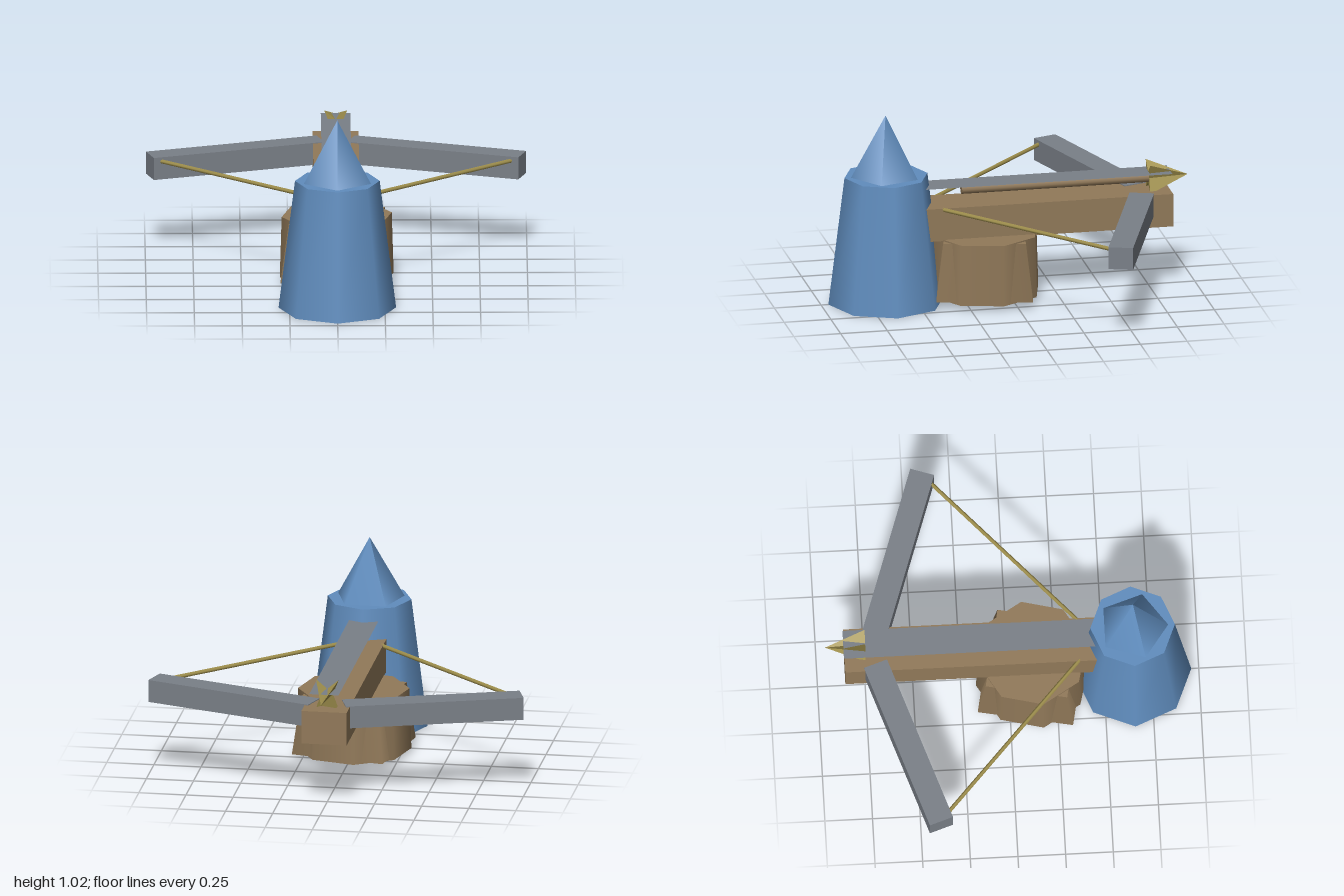
import * as THREE from 'three';

export function createModel() {
  const model = new THREE.Group();
  const mat = (name, color, extra = {}) => Object.assign(new THREE.MeshStandardMaterial({ color, ...extra }), { name });
  const blue = mat('towerBlue', 0x608dbe);
  const wood = mat('wood', 0x917959);
  const steel = mat('steelGrey', 0x7a8088, { side: THREE.DoubleSide });
  const brass = mat('brass', 0xa3934f);

  const add = (name, geometry, material, x = 0, y = 0, z = 0) => {
    const mesh = new THREE.Mesh(geometry, material);
    mesh.name = name;
    mesh.position.set(x, y, z);
    model.add(mesh);
    return mesh;
  };

  // Tapered tower with a five-sided pointed cap
  add('tower', new THREE.CylinderGeometry(0.222, 0.308, 0.69, 8), blue, 0, 0.345, 0.653);
  add('pointedCap', new THREE.ConeGeometry(0.185, 0.33, 5), blue, 0, 0.855, 0.655);

  // Eight-sided wooden drum with the corners of a tapered square block poking out
  add('drum', new THREE.CylinderGeometry(0.292, 0.302, 0.328, 8), wood, 0, 0.19, 0.127).rotation.y = 0.15;
  add('drumCorners', new THREE.CylinderGeometry(0.305, 0.357, 0.31, 4), wood, 0, 0.192, 0.127).rotation.y = 0.59;

  // Stock with a slightly slanted butt
  const stock = new THREE.BoxGeometry(0.24, 0.178, 1.32);
  const p = stock.attributes.position;
  for (let i = 0; i < p.count; i++) {
    if (p.getZ(i) > 0) p.setZ(i, p.getY(i) > 0 ? 0.68 : 0.65);
  }
  stock.computeVertexNormals();
  add('stock', stock, wood, 0, 0.437, -0.2);

  // Thin cover plate above the bolt
  add('coverPlate', new THREE.PlaneGeometry(0.155, 1.33), steel, 0, 0.622, -0.2).rotation.x = -Math.PI / 2;

  // Bolt shaft
  add('boltShaft', new THREE.CylinderGeometry(0.028, 0.028, 1.0, 8), wood, 0, 0.59, -0.25).rotation.x = Math.PI / 2;

  // Bolt head: pyramid with a four-pointed star section
  const star = [];
  for (let i = 0; i < 8; i++) {
    const a = (i * Math.PI) / 4;
    const [rx, ry] = i % 2 ? [0.085, 0.11] : [0.03, 0.028];
    star.push([Math.cos(a) * rx, Math.sin(a) * ry, 0]);
  }
  const corners = [];
  star.forEach((a, i) => {
    const b = star[(i + 1) % 8];
    corners.push(...b, ...a, 0, 0, -0.212);
    corners.push(...a, ...b, 0, 0, 0);
  });
  const head = new THREE.BufferGeometry();
  head.setAttribute('position', new THREE.Float32BufferAttribute(corners, 3));
  head.computeVertexNormals();
  add('boltHead', head, brass, 0, 0.592, -0.75);

  // Swept limbs and bowstrings, mirrored
  for (const side of [1, -1]) {
    const start = new THREE.Vector3(side * 0.08, 0.47, -0.7);
    const end = new THREE.Vector3(side * 0.975, 0.47, -0.4);
    const d = end.clone().sub(start);
    const mid = start.clone().add(end).multiplyScalar(0.5);
    const limb = add(side > 0 ? 'leftLimb' : 'rightLimb',
      new THREE.BoxGeometry(d.length(), 0.12, 0.13), steel, mid.x, mid.y, mid.z);
    limb.rotation.y = -Math.atan2(d.z, d.x);

    const string = new THREE.LineCurve3(
      new THREE.Vector3(side * 0.93, 0.507, -0.37),
      new THREE.Vector3(side * 0.11, 0.518, 0.37));
    add(side > 0 ? 'leftString' : 'rightString', new THREE.TubeGeometry(string, 1, 0.011, 5), brass);
  }
  return model;
}
